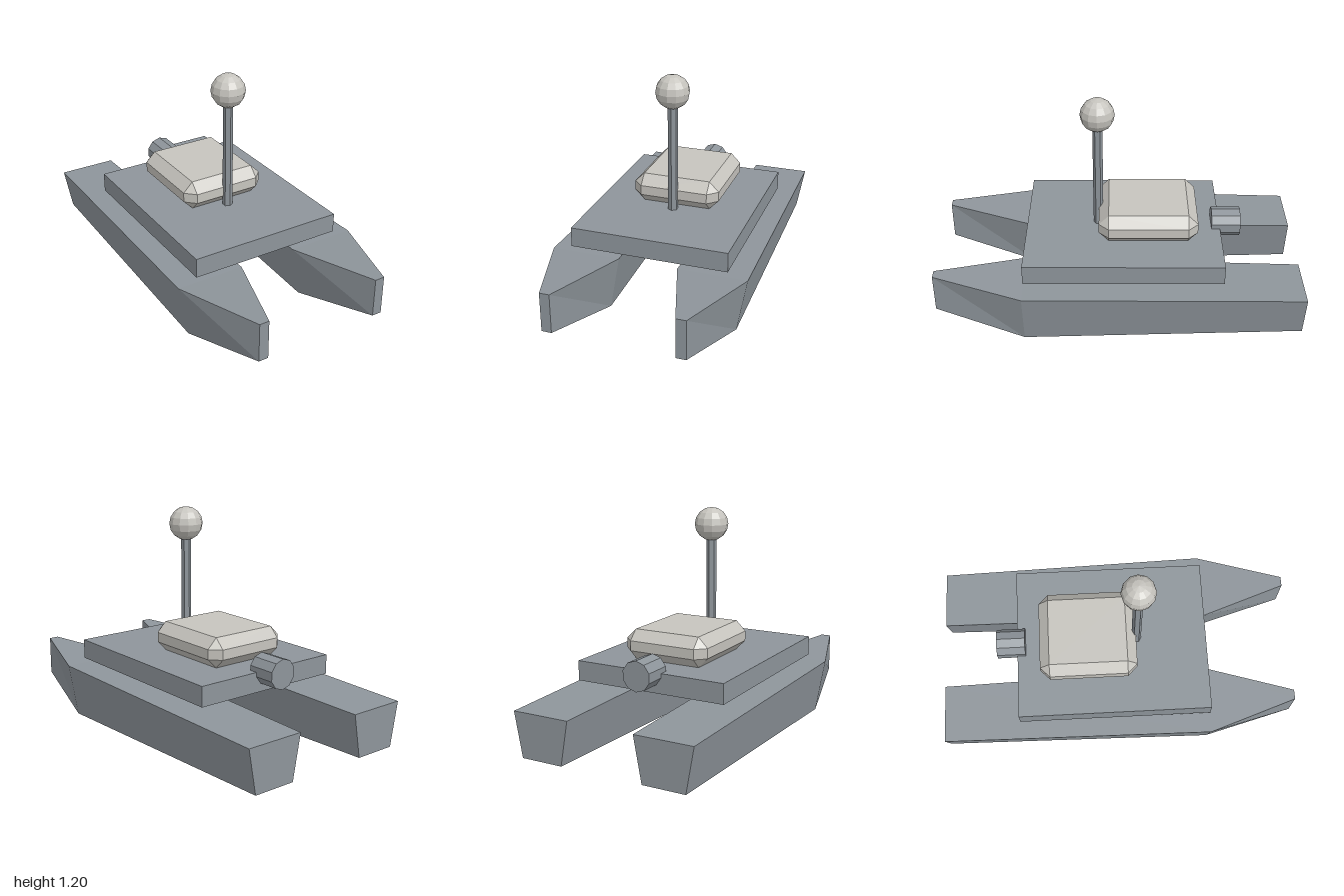
import * as THREE from 'three';
import { ConvexGeometry } from 'three/addons/geometries/ConvexGeometry.js';

const greyMetal = new THREE.MeshStandardMaterial({ name: 'greyMetal', color: 0x8e959b, flatShading: true });
const paleShell = new THREE.MeshStandardMaterial({ name: 'paleShell', color: 0xc6c4be, flatShading: true });

// Loft four-cornered sections, ordered bow to stern, with closed ends
function hullGeometry() {
  // z, top half-width, bottom half-width, top y, bottom y
  const sections = [
    [1, 0.027, 0.027, 0.327, 0.11],
    [0.51, 0.188, 0.135, 0.298, 0],
    [-1, 0.162, 0.118, 0.272, 0.032],
  ];
  const positions = [];
  const index = [0, 3, 2, 0, 2, 1];
  for (const [z, wt, wb, yt, yb] of sections) {
    positions.push(-wt, yt, z, wt, yt, z, wb, yb, z, -wb, yb, z);
  }
  for (let s = 0; s < sections.length - 1; s++) {
    for (let k = 0; k < 4; k++) {
      const n = (k + 1) % 4;
      const a = s * 4 + k, b = s * 4 + n, c = b + 4, d = a + 4;
      index.push(a, b, c, a, c, d);
    }
  }
  const e = (sections.length - 1) * 4;
  index.push(e, e + 1, e + 2, e, e + 2, e + 3);
  const indexed = new THREE.BufferGeometry();
  indexed.setAttribute('position', new THREE.Float32BufferAttribute(positions, 3));
  indexed.setIndex(index);
  const geometry = indexed.toNonIndexed();
  geometry.computeVertexNormals();
  return geometry;
}

// Box with every edge and corner cut flat
function chamferedBox(w, h, d, c) {
  const points = [];
  for (const sx of [-1, 1]) for (const sy of [-1, 1]) for (const sz of [-1, 1]) {
    const x = w / 2, y = h / 2, z = d / 2;
    points.push(
      new THREE.Vector3(sx * x, sy * (y - c), sz * (z - c)),
      new THREE.Vector3(sx * (x - c), sy * y, sz * (z - c)),
      new THREE.Vector3(sx * (x - c), sy * (y - c), sz * z),
    );
  }
  return new ConvexGeometry(points);
}

export function createModel() {
  const model = new THREE.Group();
  model.name = 'catamaran';
  const add = (name, geometry, material, x, y, z) => {
    const mesh = new THREE.Mesh(geometry, material);
    mesh.name = name;
    mesh.position.set(x, y, z);
    model.add(mesh);
    return mesh;
  };

  // Twin hulls
  const hull = hullGeometry();
  add('leftHull', hull, greyMetal, 0.35, 0, 0);
  add('rightHull', hull, greyMetal, -0.35, 0, 0);

  // Deck and equipment pod
  add('deck', new THREE.BoxGeometry(0.864, 0.108, 1.075), greyMetal, 0, 0.381, -0.0275);
  add('pod', chamferedBox(0.486, 0.162, 0.54, 0.054), paleShell, 0, 0.516, -0.163);

  // Mast with its ball
  add('mast', new THREE.CylinderGeometry(0.027, 0.027, 0.62, 6), greyMetal, 0, 0.745, 0.112);
  add('mastBall', new THREE.SphereGeometry(0.0925, 12, 8), paleShell, 0, 1.111, 0.112);

  // Stern motor
  const motor = new THREE.CylinderGeometry(0.081, 0.081, 0.16, 10).rotateX(Math.PI / 2);
  add('motor', motor, greyMetal, 0, 0.437, -0.598);

  return model;
}
